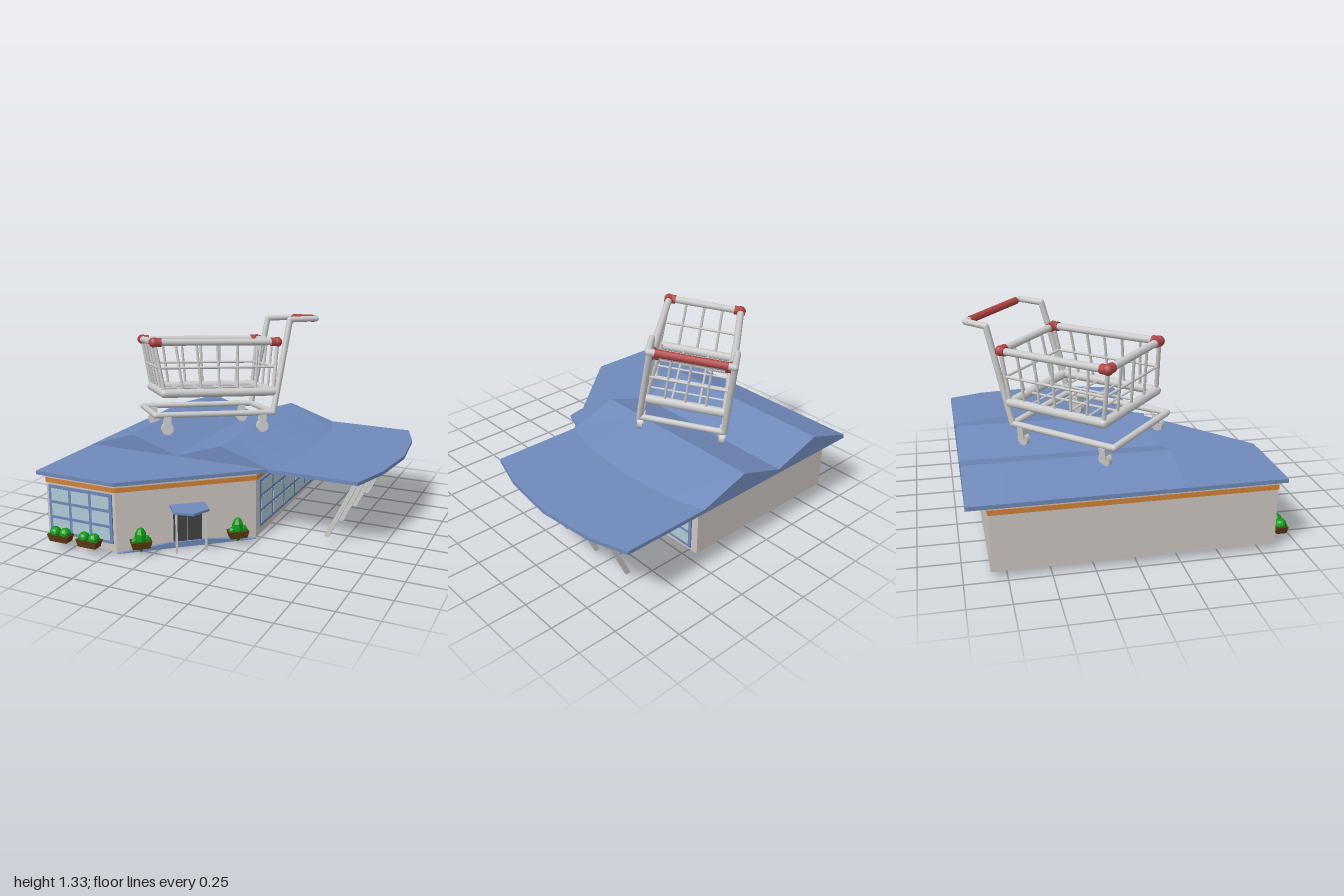
import * as THREE from 'three';

const paint = (color, extra = {}) => new THREE.MeshStandardMaterial({ color, ...extra });
const grey = paint(0xcccccc), wallMat = paint(0xcdc6c1), blue = paint(0x6f89ba, { flatShading: true });
const glass = paint(0xb0cbd8), orange = paint(0xd08238), dark = paint(0x444444), red = paint(0xb04444);
const brown = paint(0x5c3a14, { flatShading: true }), green = paint(0x0c9a14, { flatShading: true });
const V = (x, y, z) => new THREE.Vector3(x, y, z);

function add(parent, name, geo, mat, x = 0, y = 0, z = 0) {
  const m = new THREE.Mesh(geo, mat);
  m.name = name;
  m.position.set(x, y, z);
  parent.add(m);
  return m;
}
function group(parent, name, x = 0, y = 0, z = 0, ry = 0) {
  const g = new THREE.Group();
  g.name = name;
  g.position.set(x, y, z);
  g.rotation.y = ry;
  parent.add(g);
  return g;
}
const box = (w, h, d) => new THREE.BoxGeometry(w, h, d);

// Vertical prism over a list of [x, z] corners
function prism(points, y0, y1) {
  const shape = new THREE.Shape(points.map(([x, z]) => new THREE.Vector2(x, -z)));
  return new THREE.ExtrudeGeometry(shape, { depth: y1 - y0, bevelEnabled: false }).rotateX(-Math.PI / 2).translate(0, y0, 0);
}
// Round bar between two points
function rod(parent, name, a, b, r, mat = grey, sides = 10) {
  const d = b.clone().sub(a);
  const m = add(parent, name, new THREE.CylinderGeometry(r, r, d.length(), sides), mat);
  m.position.copy(a).add(b).multiplyScalar(0.5);
  m.quaternion.setFromUnitVectors(V(0, 1, 0), d.normalize());
}
// Chain of bars with round joints
function pipe(parent, name, pts, r, mat = grey) {
  pts.forEach((p, i) => {
    add(parent, name + 'Joint', new THREE.SphereGeometry(r, 10, 8), mat, p.x, p.y, p.z);
    if (i) rod(parent, name, pts[i - 1], p, r, mat);
  });
}

const FOOT = [[-0.96, 0.84], [-0.46, 0.84], [0.22, 0.27], [0.22, -0.845], [-0.96, -0.845]];

// Main roof: two ridges and a flat canopy with a bowed end
function roofGeometry() {
  const zs = [-0.97, -0.74, -0.36, 0, 0.265], fold = [0.3, 0.37, 0.4, 0.37, 0.3], end = [0.88, 0.96, 1, 0.96, 0.88];
  const ys = [0.47, 0.577, 0.472, 0.577, 0.47, 0.468], pos = [], idx = [];
  const nx = ys.length, nz = zs.length, N = nx * nz;
  for (const under of [false, true]) zs.forEach((z, j) =>
    [-1, -0.68, -0.35, -0.03, fold[j], end[j]].forEach((x, i) => pos.push(x, under ? 0.445 : ys[i], z)));
  const quad = (a, b, c, d) => idx.push(a, b, c, a, c, d);
  for (let j = 0; j < nz - 1; j++) for (let i = 0; i < nx - 1; i++) {
    const a = j * nx + i, b = a + nx;
    quad(a, b, b + 1, a + 1);
    quad(N + a, N + a + 1, N + b + 1, N + b);
  }
  const rim = [];
  for (let i = 0; i < nx - 1; i++) rim.push((nz - 1) * nx + i);
  for (let j = nz - 1; j > 0; j--) rim.push(j * nx + nx - 1);
  for (let i = nx - 1; i > 0; i--) rim.push(i);
  for (let j = 0; j < nz - 1; j++) rim.push(j * nx);
  rim.forEach((a, k) => { const b = rim[(k + 1) % rim.length]; quad(a, N + a, N + b, b); });
  const g = new THREE.BufferGeometry();
  g.setAttribute('position', new THREE.Float32BufferAttribute(pos, 3));
  g.setIndex(idx);
  const flat = g.toNonIndexed();
  flat.computeVertexNormals();
  return flat;
}

function windowGrid(parent, w, h, cols, rows, x, y, z, ry) {
  const g = group(parent, 'window', x, y, z, ry), bar = 0.02;
  add(g, 'windowFrame', box(w, h, 0.012), blue);
  const pw = (w - bar) / cols, ph = (h - bar) / rows;
  for (let i = 0; i < cols; i++) for (let j = 0; j < rows; j++)
    add(g, 'windowPane', box(pw - bar, ph - bar, 0.004), glass, (i - (cols - 1) / 2) * pw, (j - (rows - 1) / 2) * ph, 0.006);
}

// Flared trough with low-poly shrubs
function planter(parent, x, z, tall) {
  const g = group(parent, 'planter', x, 0.072, z);
  const trough = new THREE.CylinderGeometry(0.707, 0.58, 1, 4).rotateY(Math.PI / 4).scale(tall ? 0.13 : 0.15, 0.045, 0.075);
  add(g, 'planterTrough', trough, brown);
  if (tall) {
    const profile = [[0, -0.055], [0.026, -0.02], [0.038, 0.03], [0.034, 0.07], [0.018, 0.1], [0, 0.108]];
    add(g, 'tallShrub', new THREE.LatheGeometry(profile.map(p => new THREE.Vector2(...p)), 7), green);
    add(g, 'lowShrub', new THREE.IcosahedronGeometry(0.03, 0), green, 0.033, 0.028, 0);
    add(g, 'lowShrub', new THREE.IcosahedronGeometry(0.026, 0), green, -0.035, 0.026, 0.005);
  } else for (const s of [-1, 1]) {
    const shrub = add(g, 'shrub', new THREE.IcosahedronGeometry(0.038, 1).scale(1, 0.95, 0.95), green, s * 0.035, 0.03, 0);
    shrub.rotation.set(0.4, s, 0.3);
  }
}

function buildStore(root) {
  const store = group(root, 'store');
  // Walls: the base rises slightly away from the entrance side
  const walls = prism(FOOT, 0, 0.45), p = walls.attributes.position;
  for (let i = 0; i < p.count; i++) {
    const entrance = p.getX(i) > -0.5 && p.getZ(i) > 0.2;
    if (p.getY(i) < 0.1 && !entrance) p.setY(i, 0.04);
  }
  walls.computeVertexNormals();
  add(store, 'walls', walls, [blue, wallMat]);
  FOOT.forEach(([x, z], i) => {
    const [x2, z2] = FOOT[(i + 1) % FOOT.length];
    add(store, 'wallStripe', box(Math.hypot(x2 - x, z2 - z) + 0.006, 0.03, 0.01), orange, (x + x2) / 2, 0.405, (z + z2) / 2)
      .rotation.y = Math.atan2(z - z2, x2 - x);
  });
  add(store, 'mainRoof', roofGeometry(), blue);
  add(store, 'frontRoof', prism([[-1, 0.26], [-1, 0.885], [-0.44, 0.885], [0.3, 0.26]], 0.445, 0.469), blue);
  windowGrid(store, 0.46, 0.32, 3, 3, -0.71, 0.217, 0.842, 0);
  windowGrid(store, 1.02, 0.32, 5, 3, 0.222, 0.217, -0.285, Math.PI / 2);
  // Slanted canopy supports
  const lean = new THREE.Matrix4().set(1, 0.47, 0, 0, 0, 1, 0, 0, 0, 0, 1, 0, 0, 0, 0, 1);
  for (const z of [0.165, -0.125, -0.42, -0.71])
    add(store, 'canopySupport', box(0.032, 0.4, 0.02).applyMatrix4(lean), grey, 0.755, 0.247, z);

  // Entrance on the diagonal wall
  const entry = group(store, 'entrance', -0.12, 0, 0.555, 0.698);
  const mat = new THREE.Shape([[-0.443, 0], [0.443, 0], [0.12, 0.035], [-0.12, 0.035]].map(q => new THREE.Vector2(...q)));
  add(entry, 'entranceStep', new THREE.ExtrudeGeometry(mat, { depth: 0.02, bevelEnabled: false }), blue);
  add(entry, 'doorFrame', box(0.2, 0.25, 0.008), grey, 0, 0.145, 0);
  for (const s of [-1, 1]) {
    add(entry, 'doorPanel', box(0.088, 0.24, 0.008), dark, s * 0.046, 0.145, 0.003);
    add(entry, 'porchPost', box(0.012, 0.265, 0.012), grey, s * 0.092, 0.137, 0.115);
    planter(entry, s * 0.305, 0.07, true);
  }
  add(entry, 'porchRoof', prism([[-0.11, 0], [-0.11, 0.13], [0, 0.19], [0.11, 0.13], [0.11, 0]], 0.265, 0.28), blue);
  for (const x of [-0.815, -0.605]) planter(store, x, 0.92, false);
}

function buildCart(root) {
  // Tilted frame: local x runs to the handle, y up, origin at the rim centre
  const cart = group(root, 'cart', -0.357, 1.1525, -0.228);
  const ax = V(0.77, -0.042, -0.64).normalize();
  const ay = V(0.637, 0.123, 0.76).cross(ax).normalize();
  cart.setRotationFromMatrix(new THREE.Matrix4().makeBasis(ax, ay, ax.clone().cross(ay)));

  const ring = (x0, x1, y, w) => [V(x0, y, -w), V(x0, y, w), V(x1, y, w), V(x1, y, -w)];
  const top = ring(-0.415, 0.415, 0, 0.247), low = ring(-0.35, 0.385, -0.33, 0.26);
  const mid = top.map((p, i) => p.clone().lerp(low[i], 0.5));
  const closed = pts => [...pts, pts[0]];
  pipe(cart, 'basketRim', closed(top), 0.023);
  pipe(cart, 'basketMiddleRail', closed(mid), 0.009);
  pipe(cart, 'basketLowerRail', closed(low), 0.029);
  top.forEach((p, i) => {
    // Red corner caps with short sleeves, then side bars
    const q = top[(i + 1) % 4], o = top[(i + 3) % 4];
    add(cart, 'cornerCap', new THREE.SphereGeometry(0.033, 12, 8), red, p.x, p.y, p.z);
    for (const t of [q, o]) rod(cart, 'cornerSleeve', p, p.clone().add(t.clone().sub(p).setLength(0.045)), 0.03, red);
    rod(cart, 'cornerPost', p, low[i], 0.013);
    const n = i % 2 ? 6 : 4;
    for (let k = 1; k < n; k++)
      rod(cart, 'sideBar', p.clone().lerp(q, k / n), low[i].clone().lerp(low[(i + 1) % 4], k / n), 0.009, grey, 6);
  });
  // Basket floor wires
  for (const z of [-0.087, 0.087]) rod(cart, 'floorWire', V(-0.35, -0.33, z), V(0.385, -0.33, z), 0.008, grey, 6);
  for (let k = 1; k < 5; k++) {
    const x = -0.35 + k * 0.147;
    rod(cart, 'floorWire', V(x, -0.33, -0.26), V(x, -0.33, 0.26), 0.008, grey, 6);
  }
  // Base frame, uprights and handle
  pipe(cart, 'baseFrame', closed(ring(-0.41, 0.385, -0.47, 0.268)), 0.02);
  for (const s of [-1, 1]) {
    pipe(cart, 'upright', [V(0.385, -0.47, s * 0.27), V(0.5, 0.148, s * 0.252), V(0.685, 0.155, s * 0.247)], 0.02);
    for (const x of [-0.335, 0.31]) {
      const caster = group(cart, 'caster', x, -0.56, s * 0.265);
      add(caster, 'casterFork', box(0.045, 0.07, 0.05), grey, 0, 0.045, 0);
      add(caster, 'casterWheel', new THREE.CylinderGeometry(0.04, 0.04, 0.034, 14).rotateX(Math.PI / 2), grey);
    }
  }
  rod(cart, 'handleBar', V(0.685, 0.155, -0.247), V(0.685, 0.155, 0.247), 0.02);
  rod(cart, 'handleGrip', V(0.685, 0.155, -0.21), V(0.685, 0.155, 0.21), 0.024, red);
}

export function createModel() {
  const root = new THREE.Group();
  root.name = 'storeWithCart';
  buildStore(root);
  buildCart(root);
  return root;
}
